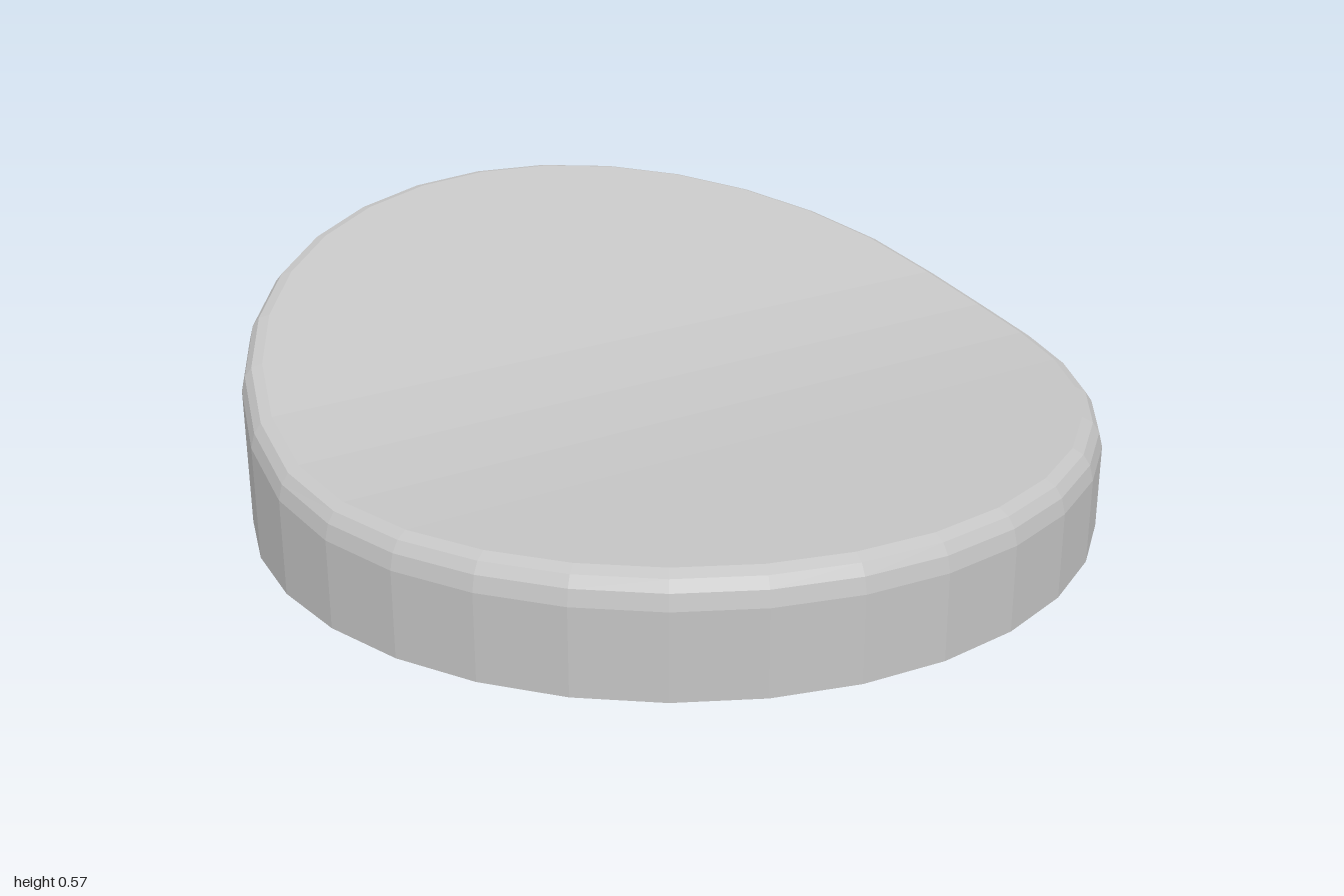
import * as THREE from 'three';

const SIDES = 32;

// Height of the top surface: level at the front, bending up to a ramp at the back
const PROFILE = [[1, 0.268], [0.38, 0.268], [0.19, 0.273], [0, 0.292], [-0.19, 0.335], [-0.37, 0.393], [-1, 0.59]];
function topHeight(z) {
  for (let i = 1; i < PROFILE.length; i++) {
    const [z0, y0] = PROFILE[i - 1], [z1, y1] = PROFILE[i];
    if (z >= z1) return y0 + (y1 - y0) * Math.min(1, Math.max(0, (z0 - z) / (z0 - z1)));
  }
  return PROFILE[PROFILE.length - 1][1];
}

// Rounded edge: radius and drop below the top surface
const EDGE = [[1, 0.07], [0.991, 0.035], [0.975, 0.012], [0.95, 0]];

function ring(radius, height) {
  return Array.from({ length: SIDES }, (_, i) => {
    const a = (i / SIDES) * Math.PI * 2;
    const x = Math.sin(a) * radius, z = Math.cos(a) * radius;
    return [x, height(z), z];
  });
}

function quadsToGeometry(quads) {
  const pos = [];
  for (const [a, b, c, d] of quads) pos.push(...a, ...b, ...c, ...a, ...c, ...d);
  const g = new THREE.BufferGeometry();
  g.setAttribute('position', new THREE.Float32BufferAttribute(pos, 3));
  g.computeVertexNormals();
  return g;
}

function loft(rings) {
  const quads = [];
  for (let r = 0; r < rings.length - 1; r++) {
    for (let i = 0; i < SIDES; i++) {
      const j = (i + 1) % SIDES;
      quads.push([rings[r][i], rings[r][j], rings[r + 1][j], rings[r + 1][i]]);
    }
  }
  return quadsToGeometry(quads);
}

export function createModel() {
  const group = new THREE.Group();
  group.name = 'slopedKeycap';
  const grey = new THREE.MeshStandardMaterial({ color: 0xc4c4c4, flatShading: true, side: THREE.DoubleSide });
  grey.name = 'lightGrey';
  const add = (name, geometry) => {
    const mesh = new THREE.Mesh(geometry, grey);
    mesh.name = name;
    group.add(mesh);
  };

  const edgeRings = EDGE.map(([r, drop]) => ring(r, (z) => topHeight(z) - drop));

  // Open-bottomed side wall and its rounded upper edge
  add('sideWall', loft([ring(1, () => 0), edgeRings[0]]));
  add('roundedEdge', loft(edgeRings));

  // Top made of strips running from side to side
  const rim = edgeRings[edgeRings.length - 1];
  const strips = [];
  for (let k = 0; k < SIDES / 2; k++) {
    strips.push([rim[(SIDES - k) % SIDES], rim[k], rim[k + 1], rim[SIDES - k - 1]]);
  }
  add('topSurface', quadsToGeometry(strips));

  return group;
}
